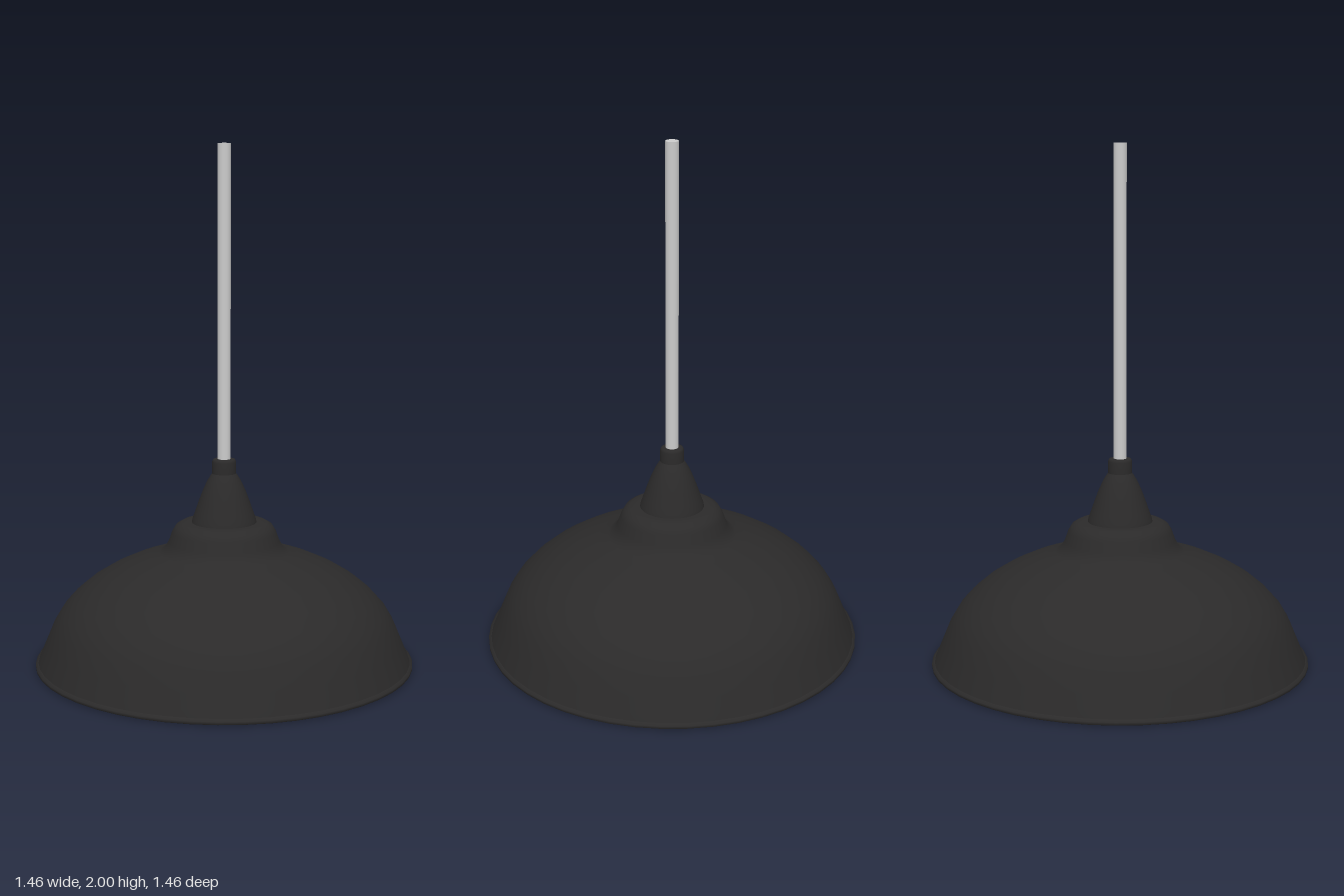
import * as THREE from 'three';

const SIDES = 48;

export function createModel() {
  const group = new THREE.Group();
  const black = new THREE.MeshStandardMaterial({ color: 0x2b2a2a, side: THREE.DoubleSide });
  const grey = new THREE.MeshStandardMaterial({ color: 0xcccccc });

  const add = (name, geometry, material) => {
    const mesh = new THREE.Mesh(geometry, material);
    mesh.name = name;
    group.add(mesh);
    return mesh;
  };
  // Turned part from [radius, height] pairs, listed from bottom to top
  const turn = (name, profile) =>
    add(name, new THREE.LatheGeometry(profile.map(([r, y]) => new THREE.Vector2(r, y)), SIDES), black);

  // Rim bead around the opening
  turn('rim', [[0.722, 0], [0.73, 0.004], [0.73, 0.014], [0.72, 0.022]]);

  // Bell-shaped shade with its stepped shoulder
  turn('shade', [
    [0.72, 0.015], [0.708, 0.045], [0.685, 0.1], [0.658, 0.165], [0.625, 0.22],
    [0.58, 0.27], [0.52, 0.32], [0.45, 0.363], [0.37, 0.4], [0.29, 0.428],
    [0.25, 0.442], [0.228, 0.458], [0.213, 0.485], [0.2, 0.522], [0.186, 0.545],
    [0.165, 0.557], [0.14, 0.56], [0.11, 0.56],
  ]);

  // Flat closing disc underneath
  const disc = add('baseDisc', new THREE.CircleGeometry(0.722, SIDES), black);
  disc.rotation.x = Math.PI / 2;

  // Tapered socket cover
  turn('socketCover', [
    [0.125, 0.556], [0.122, 0.572], [0.112, 0.6], [0.098, 0.64], [0.083, 0.68],
    [0.066, 0.718], [0.054, 0.738], [0.046, 0.75],
  ]);

  // Collar gripping the rod
  turn('collar', [[0.046, 0.75], [0.046, 0.795], [0.042, 0.804], [0.036, 0.806], [0.02, 0.806]]);

  // Hanging rod
  const rod = add('rod', new THREE.CylinderGeometry(0.025, 0.025, 1.22, 16), grey);
  rod.position.y = 1.39;

  return group;
}
